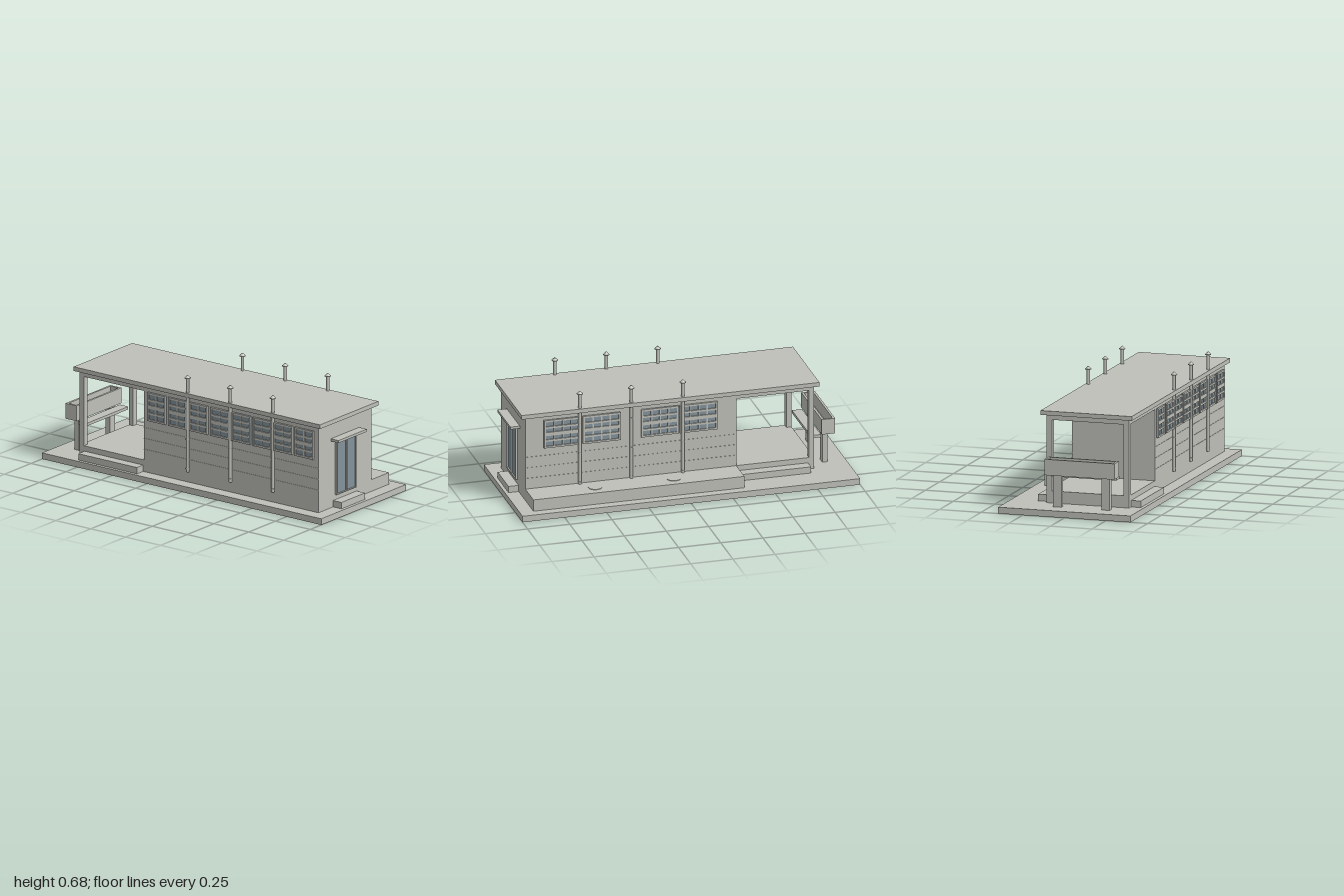
import * as THREE from 'three';

export function createModel() {
  const model = new THREE.Group();
  model.name = 'pavilion';
  const plaster = new THREE.MeshStandardMaterial({ color: 0xc0c0ba });
  plaster.name = 'grey plaster';
  const glass = new THREE.MeshStandardMaterial({ color: 0x83929a });
  glass.name = 'blue grey glass';

  const add = (geo, name, mat = plaster, parent = model) => {
    const mesh = new THREE.Mesh(geo, mat);
    mesh.name = name;
    parent.add(mesh);
    return mesh;
  };
  // Box given by its limits on each axis
  const box = (name, x0, x1, y0, y1, z0, z1, mat, parent) => {
    const mesh = add(new THREE.BoxGeometry(x1 - x0, y1 - y0, z1 - z0), name, mat, parent);
    mesh.position.set((x0 + x1) / 2, (y0 + y1) / 2, (z0 + z1) / 2);
    return mesh;
  };

  const BACK = -0.178, FRONT = 0.319;

  // Ground slab, house body, porch floor and roof
  box('groundSlab', -1, 1, 0, 0.037, -0.397, 0.397);
  box('houseBody', -0.33, 0.92, 0.037, 0.55, BACK, FRONT);
  box('porchFloor', -0.79, -0.33, 0.037, 0.107, BACK, FRONT);
  box('roof', -0.815, 0.95, 0.55, 0.575, -0.205, 0.343);

  // Porch posts and beams
  for (const z of [BACK, FRONT - 0.035]) {
    box('porchPost', -0.79, -0.76, 0.107, 0.52, z, z + 0.035);
    box('porchBeam', -0.79, -0.33, 0.52, 0.55, z, z + 0.035);
  }
  box('porchEndBeam', -0.79, -0.76, 0.52, 0.55, BACK + 0.035, FRONT - 0.035);

  // Steps and rear terrace
  box('frontStep', -0.755, -0.335, 0.037, 0.075, FRONT, 0.377);
  box('backStep', -0.755, -0.33, 0.037, 0.075, -0.24, BACK);
  box('rearTerrace', -0.33, 0.92, 0.037, 0.107, -0.343, BACK);
  box('doorStep', 0.92, 0.98, 0.037, 0.075, -0.04, 0.182);
  for (const x of [0.065, 0.53]) {
    add(new THREE.CylinderGeometry(0.04, 0.04, 0.003, 32), 'terraceLid').position.set(x, 0.1085, -0.26);
  }

  // Fine board seams along both long walls
  for (const y of [0.17, 0.235, 0.3]) {
    box('frontSeam', -0.33, 0.92, y, y + 0.003, FRONT, FRONT + 0.002);
    box('backSeam', -0.33, 0.92, y, y + 0.003, BACK - 0.002, BACK);
  }

  // Window with its outside towards local +z
  const makeWindow = (w, columns) => {
    const g = new THREE.Group();
    const h = 0.17, d = 0.013, edge = 0.011, bar = 0.008;
    box('windowGlass', -w / 2, w / 2, 0, h, 0, 0.006, glass, g);
    for (const s of [-1, 1]) {
      const c = s * (w - edge) / 2;
      box('windowJamb', c - edge / 2, c + edge / 2, 0, h, 0, d, plaster, g);
    }
    const inner = w / 2 - edge;
    for (const [y, t] of [[edge / 2, edge], [0.045, 0.012], [h / 2, 0.022], [0.125, 0.012], [h - edge / 2, edge]]) {
      box('windowRail', -inner, inner, y - t / 2, y + t / 2, 0, d - 0.001, plaster, g);
    }
    for (let i = 1; i < columns; i++) {
      const x = -inner + (2 * inner * i) / columns;
      box('windowBar', x - bar / 2, x + bar / 2, edge, h - edge, 0, d - 0.002, plaster, g);
    }
    return g;
  };
  for (let i = 0; i < 8; i++) {
    const w = makeWindow(0.131, 2);
    w.name = 'frontWindow';
    w.position.set(-0.234 + i * 0.151, 0.35, FRONT);
    model.add(w);
  }
  for (const x of [0.7, 0.47, 0.125, -0.105]) {
    const w = makeWindow(0.223, 4);
    w.name = 'backWindow';
    w.position.set(x, 0.35, BACK);
    w.rotation.y = Math.PI;
    model.add(w);
  }

  // Vent pipes with clamps and conical caps
  for (const x of [-0.01, 0.295, 0.6]) {
    for (const z of [BACK - 0.009, FRONT + 0.009]) {
      const pipe = new THREE.Group();
      pipe.name = 'ventPipe';
      pipe.position.set(x, 0, z);
      add(new THREE.CylinderGeometry(0.0095, 0.0095, 0.565, 16), 'pipe', plaster, pipe).position.y = 0.3835;
      add(new THREE.CylinderGeometry(0.006, 0.018, 0.013, 16), 'capCone', plaster, pipe).position.y = 0.6695;
      add(new THREE.CylinderGeometry(0.018, 0.018, 0.003, 16), 'capRim', plaster, pipe).position.y = 0.6625;
      add(new THREE.SphereGeometry(0.006, 12, 6), 'capTip', plaster, pipe).position.y = 0.674;
      for (const y of [0.12, 0.298, 0.48]) {
        add(new THREE.CylinderGeometry(0.011, 0.011, 0.006, 16), 'pipeClamp', plaster, pipe).position.y = y;
      }
      model.add(pipe);
    }
  }

  // Double glass door with canopy
  const doorFrame = new THREE.Shape();
  const rect = (path, a, b, c, d) =>
    path.moveTo(a, b).lineTo(c, b).lineTo(c, d).lineTo(a, d).lineTo(a, b);
  rect(doorFrame, -0.162, 0.105, 0.021, 0.43);
  for (const [a, c] of [[-0.156, -0.073], [-0.067, 0.015]]) {
    doorFrame.holes.push(rect(new THREE.Path(), a, 0.111, c, 0.424));
  }
  const frame = add(new THREE.ExtrudeGeometry(doorFrame, { depth: 0.014, bevelEnabled: false }), 'doorFrame');
  frame.rotation.y = Math.PI / 2;
  frame.position.x = 0.92;
  box('doorGlass', 0.92, 0.926, 0.108, 0.427, -0.018, 0.159, glass);
  box('doorCanopy', 0.92, 0.975, 0.435, 0.45, -0.063, 0.203);

  // Open planter on two legs, with a shelf beside it
  const planter = new THREE.Group();
  planter.name = 'planter';
  model.add(planter);
  const t = 0.013;
  box('planterBase', -0.925, -0.845, 0.225, 0.24, -0.145, 0.275, plaster, planter);
  for (const x of [-0.925, -0.845 - t]) {
    box('planterSide', x, x + t, 0.24, 0.317, -0.145, 0.275, plaster, planter);
  }
  for (const z of [-0.145, 0.275 - t]) {
    box('planterEnd', -0.925 + t, -0.845 - t, 0.24, 0.317, z, z + t, plaster, planter);
  }
  for (const z of [-0.08, 0.21]) {
    box('planterLeg', -0.89, -0.86, 0.037, 0.225, z - 0.025, z + 0.025, plaster, planter);
  }
  box('shelf', -0.845, -0.785, 0.203, 0.22, -0.13, 0.26, plaster, planter);

  return model;
}
